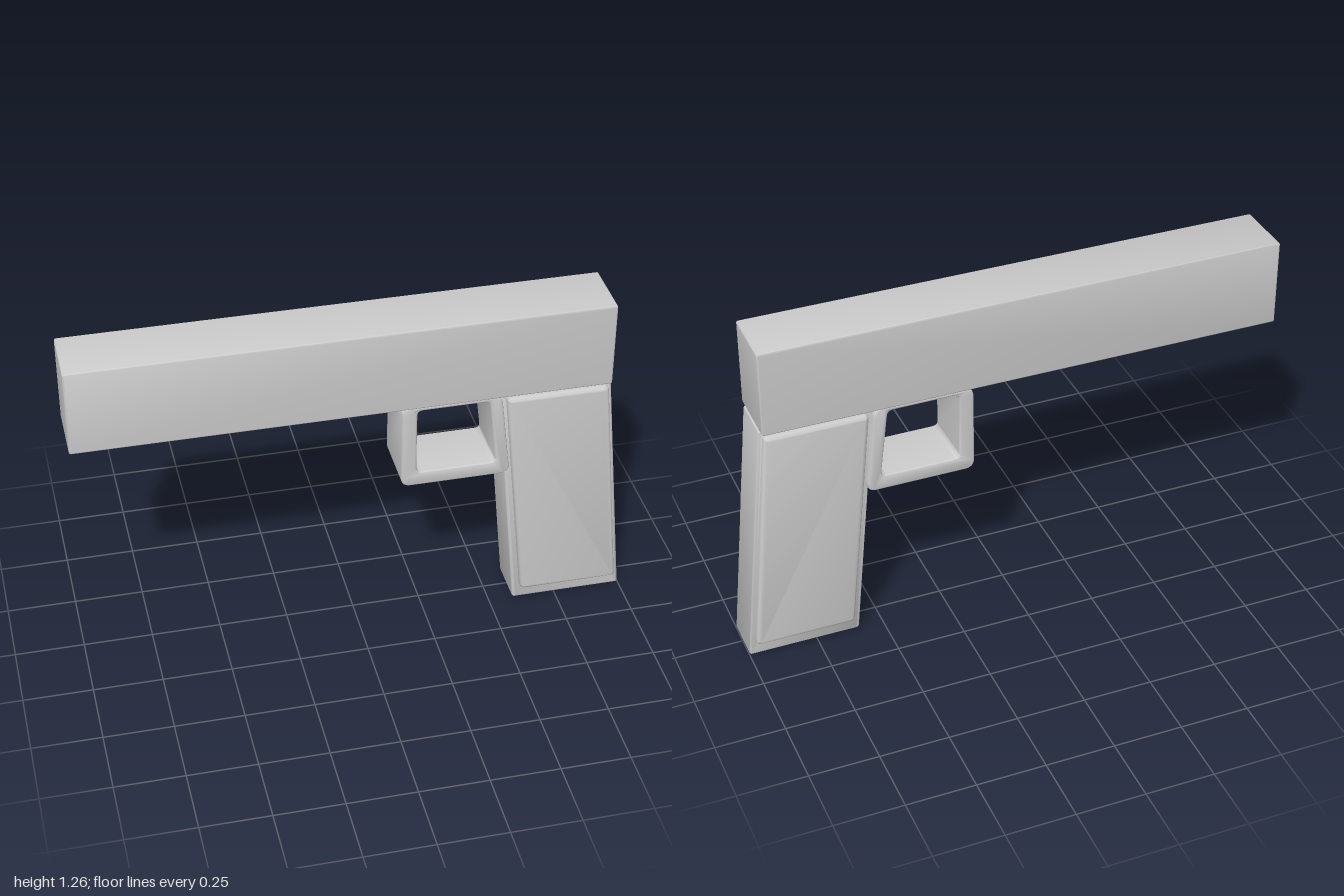
import * as THREE from 'three';
import { toCreasedNormals } from 'three/addons/utils/BufferGeometryUtils.js';

const material = new THREE.MeshStandardMaterial({ color: 0xcccccc });

// Closed outline through the corner points, each corner rounded by r.
function roundedOutline(points, r, Type = THREE.Shape) {
  const path = new Type();
  const corners = points.map(([x, y]) => new THREE.Vector2(x, y));
  const n = corners.length;
  corners.forEach((c, i) => {
    const toward = (p) => p.clone().sub(c).setLength(r).add(c);
    const a = toward(corners[(i + n - 1) % n]);
    const b = toward(corners[(i + 1) % n]);
    if (i === 0) path.moveTo(a.x, a.y);
    else path.lineTo(a.x, a.y);
    path.quadraticCurveTo(c.x, c.y, b.x, b.y);
  });
  path.closePath();
  return path;
}

// Slab with softened edges, filling the outline between z0 and z1.
function slab(name, shape, z0, z1, bevel) {
  const geometry = new THREE.ExtrudeGeometry(shape, {
    depth: z1 - z0 - 2 * bevel,
    bevelEnabled: true,
    bevelSize: bevel,
    bevelThickness: bevel,
    bevelOffset: -bevel,
    bevelSegments: 4,
    curveSegments: 6,
  });
  geometry.translate(0, 0, z0 + bevel);
  const mesh = new THREE.Mesh(toCreasedNormals(geometry, 0.7), material);
  mesh.name = name;
  return mesh;
}

export function createModel() {
  const group = new THREE.Group();
  group.name = 'blockPistol';

  // Long top block
  const slide = roundedOutline([[-1, 0.935], [0.905, 0.935], [0.905, 1.257], [-1, 1.257]], 0.008);
  group.add(slab('slide', slide, -0.115, 0.115, 0.006));

  // Slanted grip core
  const grip = roundedOutline([[0.59, 0], [1, 0], [0.91, 0.94], [0.503, 0.94]], 0.01);
  group.add(slab('grip', grip, -0.087, 0.087, 0.01));

  // Raised panel on each side of the grip
  const panel = roundedOutline([[0.613, 0.055], [0.977, 0.055], [0.897, 0.922], [0.527, 0.922]], 0.018);
  group.add(slab('leftGripPanel', panel, 0.065, 0.115, 0.016));
  group.add(slab('rightGripPanel', panel, -0.115, -0.065, 0.016));

  // Trigger guard frame
  const guard = roundedOutline([[0.15, 0.605], [0.547, 0.605], [0.508, 0.94], [0.15, 0.94]], 0.035);
  guard.holes.push(
    roundedOutline([[0.205, 0.66], [0.494, 0.66], [0.462, 0.922], [0.205, 0.922]], 0.02, THREE.Path));
  group.add(slab('triggerGuard', guard, -0.112, 0.112, 0.008));

  return group;
}
